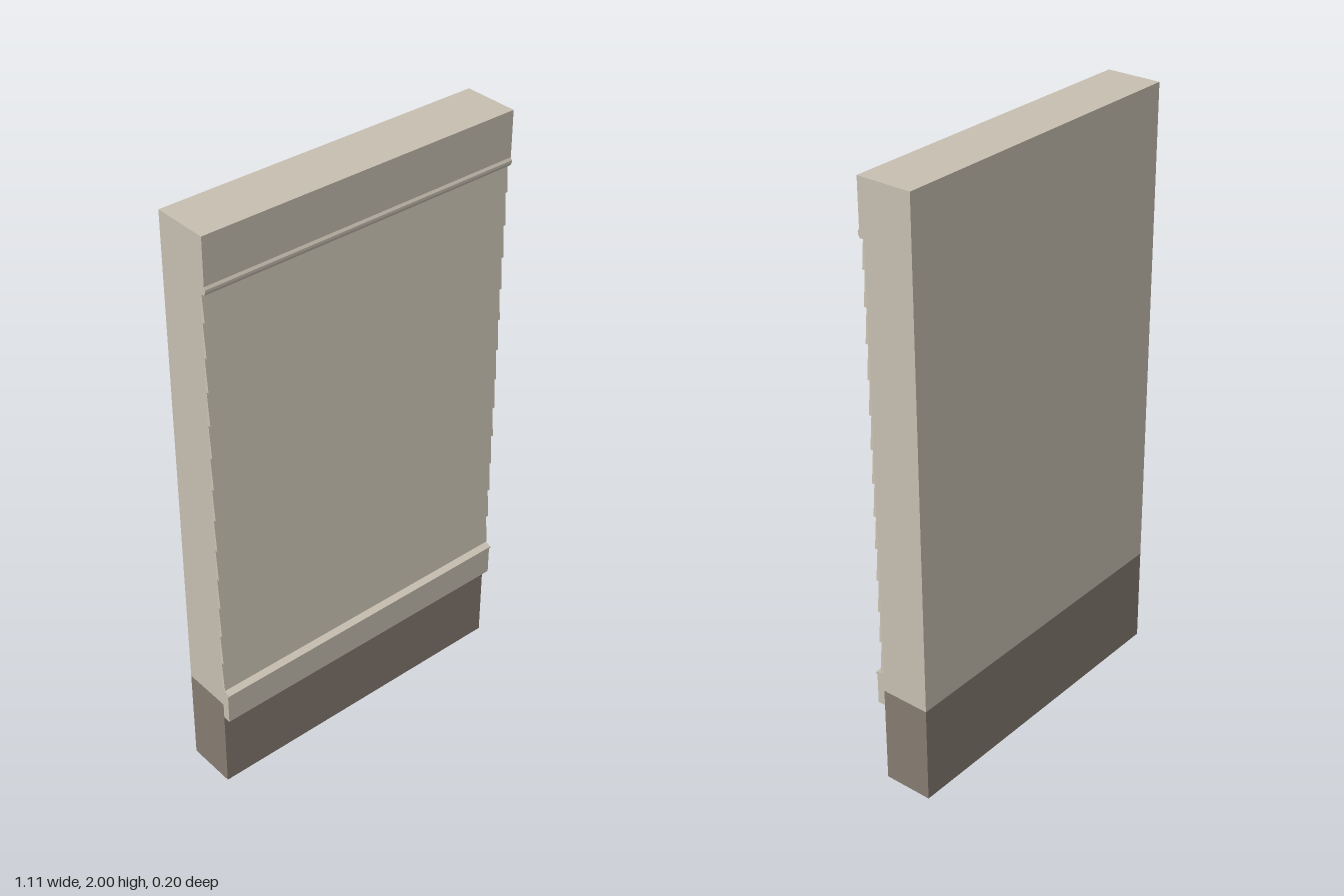
import * as THREE from 'three';

const WIDTH = 1.11;
const BACK = -0.1;

const siding = new THREE.MeshStandardMaterial({ name: 'siding', color: 0xcbc3b3 });
const trim = new THREE.MeshStandardMaterial({ name: 'trim', color: 0xc6beb0 });
const foundation = new THREE.MeshStandardMaterial({ name: 'foundation', color: 0x857b71 });

// Extrudes a [z, y] cross-section across the full width of the wall
function bar(name, points, material) {
  const shape = new THREE.Shape(points.map(([z, y]) => new THREE.Vector2(z, y)));
  const geometry = new THREE.ExtrudeGeometry(shape, { depth: WIDTH, bevelEnabled: false });
  geometry.translate(0, 0, -WIDTH / 2).rotateY(-Math.PI / 2);
  const mesh = new THREE.Mesh(geometry, material);
  mesh.name = name;
  return mesh;
}

const block = (z0, z1, y0, y1) => [[z0, y0], [z1, y0], [z1, y1], [z0, y1]];

export function createModel() {
  const wall = new THREE.Group();
  wall.name = 'sidedWall';

  // Foundation and wall core
  wall.add(bar('foundation', block(BACK, 0.068, 0, 0.335), foundation));
  wall.add(bar('wallCore', block(BACK, 0.068, 0.335, 2), trim));

  // Skirt board with a sloping drip cap
  wall.add(bar('skirtBoard', [
    [0.068, 0.28], [0.094, 0.28], [0.094, 0.385], [0.1, 0.387], [0.1, 0.392], [0.068, 0.402],
  ], trim));

  // Overlapping clapboards, each leaning out at its lower edge
  const boards = 13;
  const bottom = 0.402;
  const pitch = (1.845 - bottom) / boards;
  const clapboards = new THREE.Group();
  clapboards.name = 'clapboards';
  for (let i = 0; i < boards; i++) {
    const y = bottom + i * pitch;
    clapboards.add(bar('clapboard', [
      [0.068, y], [0.08, y], [0.071, y + pitch], [0.068, y + pitch],
    ], siding));
  }
  wall.add(clapboards);

  // Frieze board with a small bead along its lower edge
  wall.add(bar('friezeBoard', [
    [0.068, 1.823], [0.084, 1.823], [0.09, 1.834], [0.09, 1.842], [0.085, 1.85], [0.085, 2], [0.068, 2],
  ], trim));

  return wall;
}
